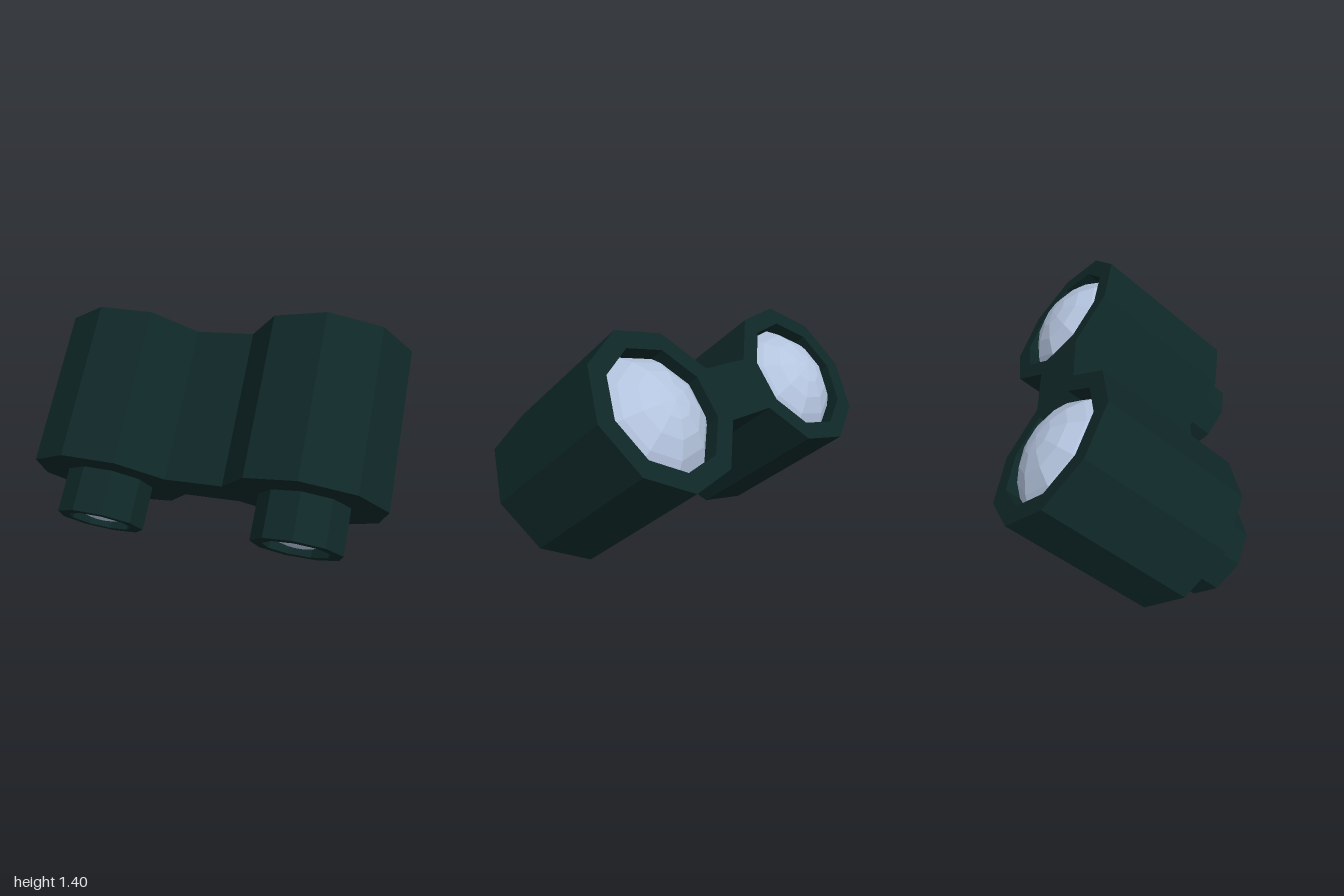
import * as THREE from 'three';

const SIDES = 9;

// Ring of points of a nine-sided polygon with one corner at angle `start`
function ring(cx, cy, r, start) {
  return Array.from({ length: SIDES }, (_, i) => {
    const a = start + (i * Math.PI * 2) / SIDES;
    return new THREE.Vector2(cx + r * Math.cos(a), cy + r * Math.sin(a));
  });
}

// Straight prism between two depths, with optional holes
function prism(points, holes, z0, z1) {
  const shape = new THREE.Shape(points);
  holes.forEach((h) => shape.holes.push(new THREE.Path(h)));
  const geo = new THREE.ExtrudeGeometry(shape, { depth: z1 - z0, bevelEnabled: false });
  return geo.translate(0, 0, z0);
}

// Faceted spherical cap; dir is +1 for facing front, -1 for facing back
function dome(r, h, rows, dir, flip) {
  const R = (r * r + h * h) / (2 * h);
  const max = Math.asin(r / R);
  const profile = [];
  for (let i = rows; i >= 0; i--) {
    const t = (max * i) / rows;
    profile.push(new THREE.Vector2(i ? R * Math.sin(t) : 0, R * Math.cos(t) - (R - h)));
  }
  const geo = new THREE.LatheGeometry(profile, SIDES);
  geo.rotateX((dir * Math.PI) / 2);
  if (flip) geo.rotateZ(Math.PI);
  return geo;
}

export function createModel() {
  const casing = new THREE.MeshStandardMaterial({ color: 0x0f2727, flatShading: true });
  casing.name = 'dark green casing';
  const glass = new THREE.MeshStandardMaterial({ color: 0xb4c4de, flatShading: true });
  glass.name = 'pale blue glass';

  const model = new THREE.Group();
  model.name = 'binoculars';
  const tilted = new THREE.Group();
  tilted.name = 'tiltedBody';
  tilted.rotation.x = Math.atan2(0.666, 0.746);
  model.add(tilted);

  const add = (name, geo, mat) => {
    const mesh = new THREE.Mesh(geo, mat);
    mesh.name = name;
    tilted.add(mesh);
    return mesh;
  };

  const barrels = [
    { side: 'right', x: -0.568, y: 0.421, start: -Math.PI / 2 },
    { side: 'left', x: 0.568, y: 0.613, start: Math.PI / 2 },
  ];

  // Body outline: both barrels joined by the bridge between their inner edges
  const [a, b] = barrels.map((p) => ring(p.x, p.y, 0.437, p.start));
  const walk = (pts, from) => pts.map((_, i) => pts[(from + i) % SIDES]);
  const outline = [...walk(a, 3), ...walk(b, 3)];
  const sockets = barrels.map((p) => ring(p.x, p.y, 0.334, p.start));
  add('body', prism(outline, [], -0.85, -0.06), casing);
  add('objectiveRims', prism(outline, sockets, -0.938, -0.85), casing);

  for (const p of barrels) {
    const flip = p.side === 'left';

    // Eyepiece tube and its recessed lens
    const tube = prism(ring(p.x, p.y, 0.244, p.start), [ring(p.x, p.y, 0.18, p.start)], -0.06, 0.187);
    add(p.side + 'Eyepiece', tube, casing);
    add(p.side + 'EyepieceLens', dome(0.18, 0.05, 3, 1, flip), glass)
      .position.set(p.x, p.y, 0.125);

    // Large bulging lens at the back
    add(p.side + 'ObjectiveLens', dome(0.333, 0.165, 4, -1, !flip), glass)
      .position.set(p.x, p.y, -0.852);
  }
  return model;
}
